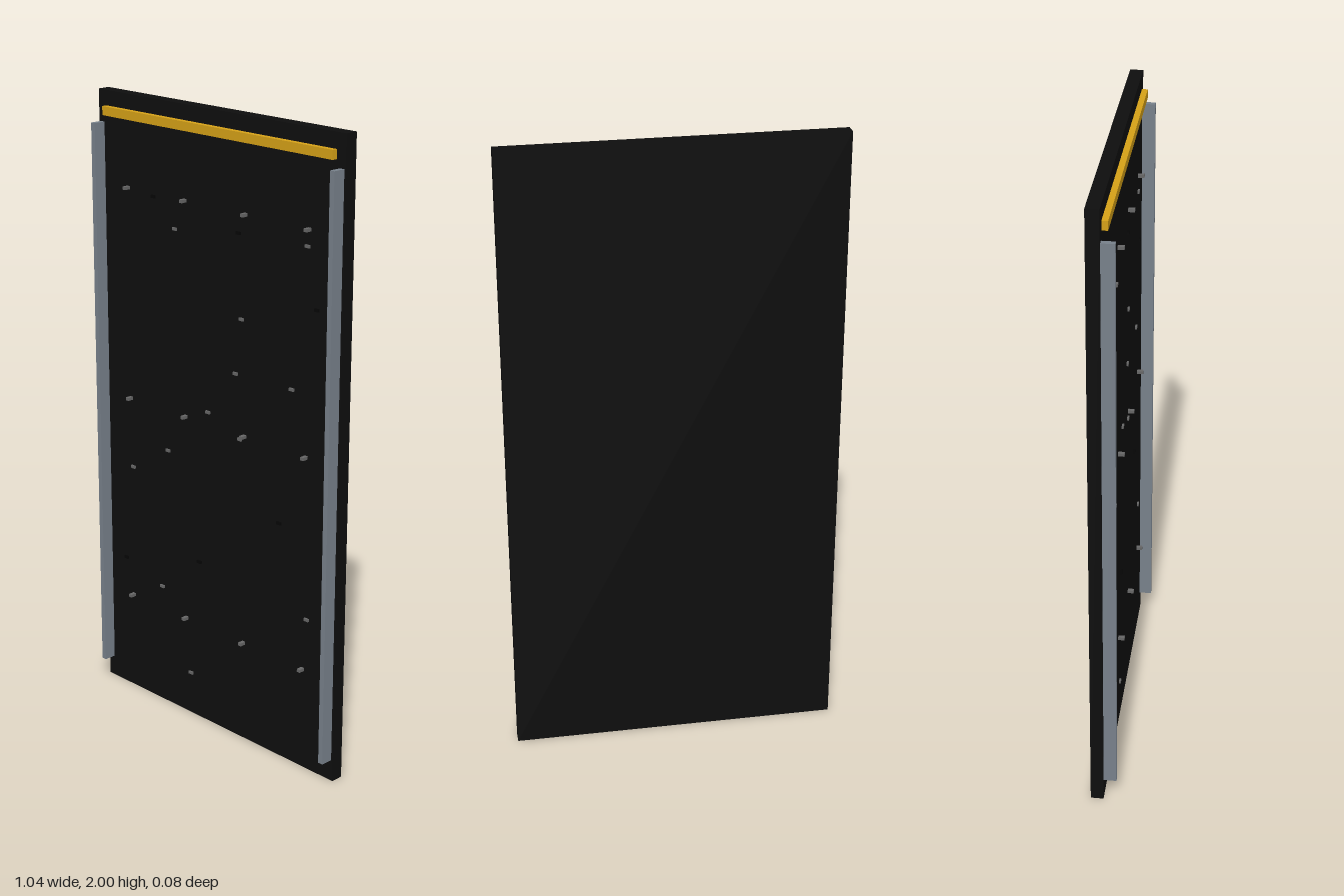
import * as THREE from 'three';

const flat = (name, color) => {
  const m = new THREE.MeshStandardMaterial({ color });
  m.name = name;
  return m;
};

export function createModel() {
  const group = new THREE.Group();
  const black = flat('black', 0x0e0e0e);
  const soot = flat('darkSpeck', 0x050505);
  const steel = flat('steel', 0x77808a);
  const grey = flat('grey', 0x666666);
  const gold = flat('gold', 0xd4a017);

  const box = (name, mat, w, h, d, x, y, z) => {
    const mesh = new THREE.Mesh(new THREE.BoxGeometry(w, h, d), mat);
    mesh.name = name;
    mesh.position.set(x, y, z);
    group.add(mesh);
  };

  // Upright slab
  box('panel', black, 1.036, 2, 0.04, 0, 1, -0.02);

  // Side rails
  for (const s of [1, -1]) {
    box(s > 0 ? 'leftRail' : 'rightRail', steel, 0.017, 1.83, 0.04, s * 0.503, 0.985, 0.02);
  }

  // Bar across the top
  box('topBar', gold, 0.966, 0.028, 0.018, 0, 1.938, 0.009);

  // Regular grid of studs
  for (const y of [0.335, 1.024, 1.71]) {
    for (const x of [-0.386, -0.13, 0.13, 0.386]) {
      box('stud', grey, 0.012, 0.01, 0.02, x, y, 0.01);
    }
  }

  // Scattered light chips
  const chips = [
    [-0.175, 1.615], [0.38, 1.66], [0.115, 1.39], [0.09, 1.215], [0.325, 1.22], [-0.03, 1.063],
    [0.11, 1.01], [-0.213, 0.89], [-0.38, 0.79], [0.4, 0.505], [-0.245, 0.41], [-0.11, 0.145],
  ];
  for (const [x, y] of chips) box('lightChip', grey, 0.017, 0.009, 0.006, x, y, 0.003);

  // Scattered dark chips
  const darkChips = [[-0.27, 1.7], [0.1, 1.65], [0.42, 1.48], [0.28, 0.785], [-0.07, 0.55], [-0.42, 0.46]];
  for (const [x, y] of darkChips) box('darkChip', soot, 0.017, 0.009, 0.006, x, y, 0.003);

  return group;
}
